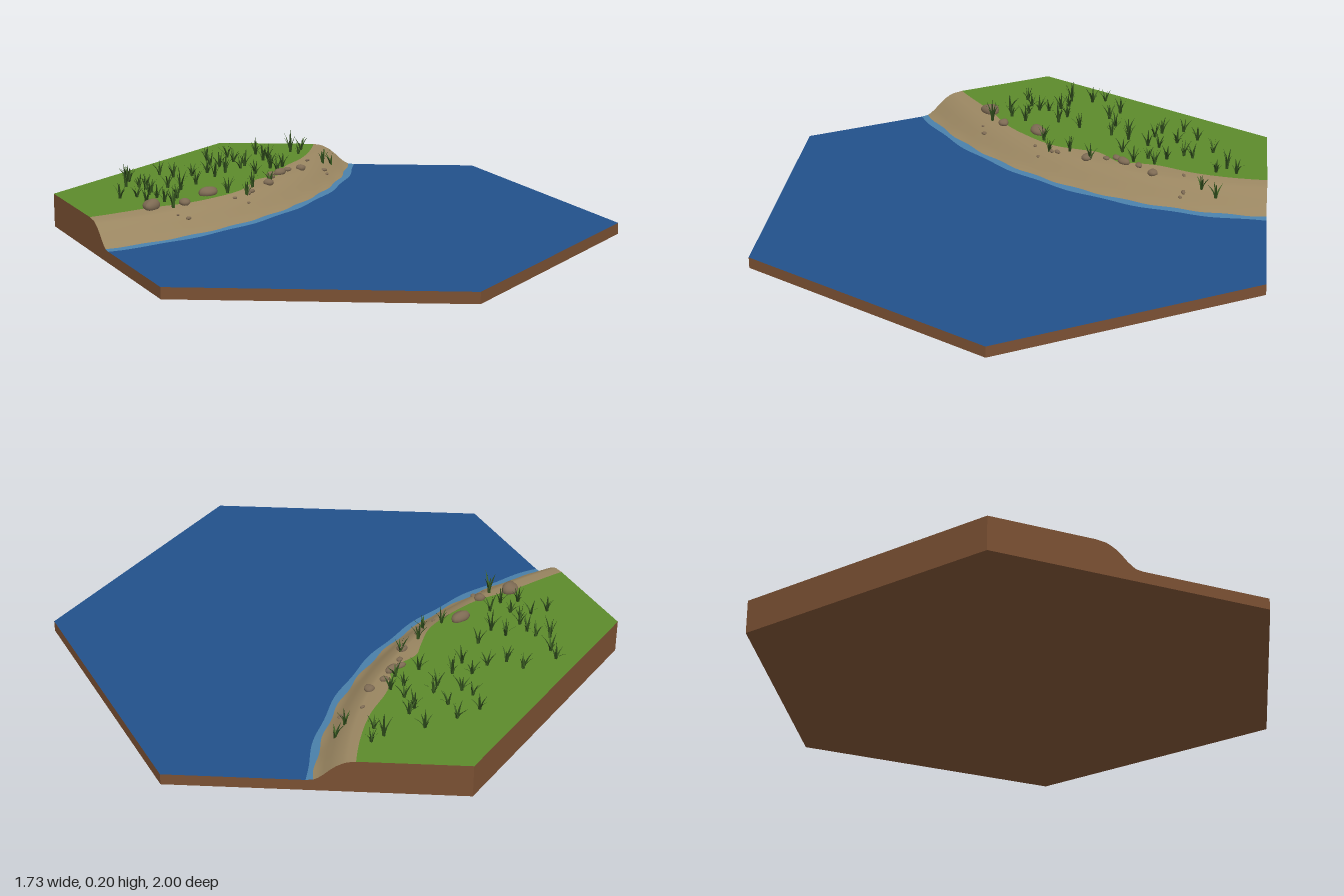
import * as THREE from 'three';
import { mergeGeometries } from 'three/addons/utils/BufferGeometryUtils.js';

const HX = 0.866, CX = -0.866, CZ = -1.487, WATER = 0.04, LAND = 0.12, SHORE = 1.527;

const mat = (name, color, side = THREE.FrontSide) => {
  const m = new THREE.MeshStandardMaterial({ color, side });
  m.name = name;
  return m;
};

// bank cross-section: [distance from the arc centre, height]
const PROFILE = [[SHORE, WATER], [1.502, 0.043], [1.488, 0.05], [1.47, 0.064], [1.45, 0.083], [1.43, 0.099],
  [1.41, 0.11], [1.395, 0.116]];

function groundAt(x, z) {
  const r = Math.hypot(x - CX, z - CZ);
  for (let i = 1; i < PROFILE.length; i++) {
    const [r0, y0] = PROFILE[i - 1], [r1, y1] = PROFILE[i];
    if (r > r1) return r > r0 ? WATER : y0 + (y1 - y0) * (r0 - r) / (r0 - r1);
  }
  return LAND;
}

// point on the shore arc: u runs from the left side to the back right side of the tile
function shorePoint(u, r, y) {
  const phi = u * (Math.PI / 3 + Math.asin(0.013 / (1.1547 * r)));
  return new THREE.Vector3(CX + r * Math.sin(phi), y, CZ + r * Math.cos(phi));
}

// smooth surface through rows of points
function loft(rows) {
  const n = rows[0].length, pos = [], idx = [];
  rows.forEach(row => row.forEach(p => pos.push(p.x, p.y, p.z)));
  for (let i = 0; i < rows.length - 1; i++) {
    for (let j = 0; j < n - 1; j++) {
      const a = i * n + j, d = a + n;
      idx.push(a, a + 1, d + 1, a, d + 1, d);
    }
  }
  const g = new THREE.BufferGeometry();
  g.setAttribute('position', new THREE.Float32BufferAttribute(pos, 3));
  g.setIndex(idx);
  g.computeVertexNormals();
  return g;
}

// flat polygon facing up
function flat(points, y) {
  const s = new THREE.Shape(points.map(p => new THREE.Vector2(p.x, -p.z)));
  return new THREE.ShapeGeometry(s).rotateX(-Math.PI / 2).translate(0, y, 0);
}

export function createModel() {
  const model = new THREE.Group();
  model.name = 'shoreTile';
  let seed = 7;
  const rand = (a = 0, b = 1) => {
    seed = (seed * 16807) % 2147483647;
    return a + (b - a) * seed / 2147483647;
  };
  const mats = {
    earth: mat('earth brown', 0x7a5033),
    water: mat('deep water blue', 0x22508a),
    shallows: mat('shallow water blue', 0x4a80aa),
    sand: mat('bank sand', 0x9a8661),
    grass: mat('meadow green', 0x5c8a2b),
    rock: mat('stone brown', 0x7d6a53),
    bladeDark: mat('dark reed green', 0x2a4519, THREE.DoubleSide),
    bladeLight: mat('reed green', 0x3c5f22, THREE.DoubleSide),
  };
  const add = (name, geo, m) => {
    const mesh = new THREE.Mesh(geo, m);
    mesh.name = name;
    model.add(mesh);
    return mesh;
  };
  const V = (x, y, z) => new THREE.Vector3(x, y, z);

  // wavy edge between sand and grass, as (u, radius)
  const edge = new THREE.SplineCurve([[0, 1.357], [0.15, 1.349], [0.255, 1.377], [0.333, 1.386], [0.43, 1.386],
    [0.505, 1.354], [0.554, 1.338], [0.628, 1.377], [0.665, 1.354], [0.727, 1.339], [0.815, 1.356], [0.9, 1.363],
    [1, 1.366]].map(p => new THREE.Vector2(...p))).getPoints(96);
  const grassEdge = edge.map(e => shorePoint(e.x, e.y, LAND));
  const rows = PROFILE.map(([r, y], i) => edge.map(e => {
    const wave = i < 2 ? 0.004 * Math.sin(e.x * Math.PI * (i ? 17 : 12)) : 0;
    return shorePoint(e.x, r + wave, y);
  }));
  rows.push(grassEdge);

  // ground and water surfaces
  add('shallows', loft(rows.slice(0, 2)), mats.shallows);
  add('sandBank', loft(rows.slice(1)), mats.sand);
  add('water', flat([...rows[0], V(HX, 0, -0.5), V(HX, 0, 0.5), V(0, 0, 1), V(-HX, 0, 0.5)], 0).translate(0, WATER, 0),
    mats.water);
  add('meadow', flat([...grassEdge, V(0, 0, -1), V(-HX, 0, -0.5)], LAND), mats.grass);

  // earth sides follow the bank profile where it meets the tile edge
  const last = edge.length - 1;
  const rim = [V(HX, WATER, -0.5), V(HX, WATER, 0.5), V(0, WATER, 1), V(-HX, WATER, 0.5),
    ...rows.map(r => r[0]), V(-HX, LAND, -0.5), V(0, LAND, -1), ...rows.map(r => r[last]).reverse()];
  const side = [];
  rim.forEach((p, i) => {
    const q = rim[(i + 1) % rim.length];
    side.push(p.x, p.y, p.z, q.x, q.y, q.z, q.x, 0, q.z, p.x, p.y, p.z, q.x, 0, q.z, p.x, 0, p.z);
  });
  // rim runs clockwise seen from above, so swap corners to face outward
  for (let i = 0; i < side.length; i += 9) {
    const a = V(side[i], side[i + 1], side[i + 2]), b = V(side[i + 3], side[i + 4], side[i + 5]),
      c = V(side[i + 6], side[i + 7], side[i + 8]);
    const n = b.clone().sub(a).cross(c.clone().sub(a));
    if (n.x * (a.x + b.x) + n.z * (a.z + b.z) < 0) side.splice(i + 3, 6, c.x, c.y, c.z, b.x, b.y, b.z);
  }
  const sideGeo = new THREE.BufferGeometry();
  sideGeo.setAttribute('position', new THREE.Float32BufferAttribute(side, 3));
  sideGeo.computeVertexNormals();
  add('earthSides', sideGeo, mats.earth);
  const hex = [[0, 1], [HX, 0.5], [HX, -0.5], [0, -1], [-HX, -0.5], [-HX, 0.5]].map(([x, z]) => V(x, 0, z));
  add('earthBottom', flat(hex, 0).rotateX(Math.PI), mats.earth);

  // rocks: [x, z, radius]
  [[-0.635, -0.152, 0.036], [-0.507, -0.153, 0.022], [-0.38, -0.238, 0.034], [-0.11, -0.31, 0.021],
    [-0.055, -0.405, 0.017], [-0.015, -0.413, 0.024], [0.032, -0.45, 0.015], [0.1, -0.472, 0.02],
    [0.225, -0.53, 0.011], [0.17, -0.56, 0.008], [-0.07, -0.37, 0.012], [-0.23, -0.225, 0.01],
    [-0.525, -0.08, 0.01], [-0.21, -0.24, 0.012], [-0.56, -0.09, 0.006], [-0.25, -0.18, 0.007],
    [0.23, -0.515, 0.008], [-0.3, -0.19, 0.008]].forEach(([x, z, r]) => {
    const g = new THREE.SphereGeometry(1, 14, 10);
    const p = g.attributes.position, k = rand(0, 6);
    for (let i = 0; i < p.count; i++) {
      const s = 1 + 0.08 * Math.sin(3 * p.getX(i) + k) + 0.08 * Math.sin(4 * p.getZ(i) + 2 * k);
      p.setXYZ(i, p.getX(i) * s, p.getY(i) * s, p.getZ(i) * s);
    }
    g.computeVertexNormals();
    const rock = add('rock', g, mats.rock);
    rock.scale.set(r, r * 0.6, r * 0.78);
    rock.rotation.y = rand(-0.5, 0.8);
    rock.position.set(x, groundAt(x, z) + r * 0.25, z);
  });

  // one tapering reed blade that bends outward
  function blade(h, lean, turn) {
    const g = new THREE.PlaneGeometry(1, 1, 1, 4).translate(0, 0.5, 0);
    const p = g.attributes.position;
    for (let i = 0; i < p.count; i++) {
      const t = p.getY(i);
      p.setXYZ(i, p.getX(i) * 0.009 * (1 - 0.92 * t * t), h * t, 0.003 + lean * t * t);
    }
    g.computeVertexNormals();
    return g.rotateY(turn);
  }

  // reed tufts: [x, z] in hundredths
  const tufts = [[-17, -74], [-8, -75], [4, -75], [-19, -66], [-17, -62], [-9, -67], [2, -64], [5, -66], [18, -73],
    [23, -74], [19, -68], [-42, -60], [-55, -60], [-56, -55], [-39, -54], [-32, -53], [-25, -55], [-19, -52],
    [-11, -56], [-8, -59], [2, -57], [-1, -51], [-25, -48], [-10, -45], [-1, -45], [4, -51], [-60, -48],
    [-56, -45], [-55, -41], [-47, -40], [-36, -40], [-55, -36], [-68, -33], [-62, -32], [-57, -33], [-44, -35],
    [-56, -28], [-56, -21], [-62, -23], [-50, -24], [-31, -23], [-24, -22], [-19, -28], [-10, -32], [-56, -13],
    [25, -59], [30, -62]];
  const blades = [[], []];
  tufts.forEach(([tx, tz], i) => {
    const x = tx / 100, z = tz / 100, y = groundAt(x, z) - 0.003;
    const n = 6, tall = i % 9 === 8 ? 0.088 : rand(0.05, 0.068), start = rand(0, 6);
    for (let k = 0; k < n; k++) {
      const h = tall * (k === 0 ? 1 : rand(0.6, 0.95));
      const lean = k === 0 ? 0.006 : rand(0.014, 0.034);
      blades[k % 3 === 2 ? 1 : 0].push(blade(h, lean, start + k * Math.PI * 2 / n + rand(-0.3, 0.3)).translate(x, y, z));
    }
  });
  add('darkReeds', mergeGeometries(blades[0]), mats.bladeDark);
  add('lightReeds', mergeGeometries(blades[1]), mats.bladeLight);
  return model;
}
